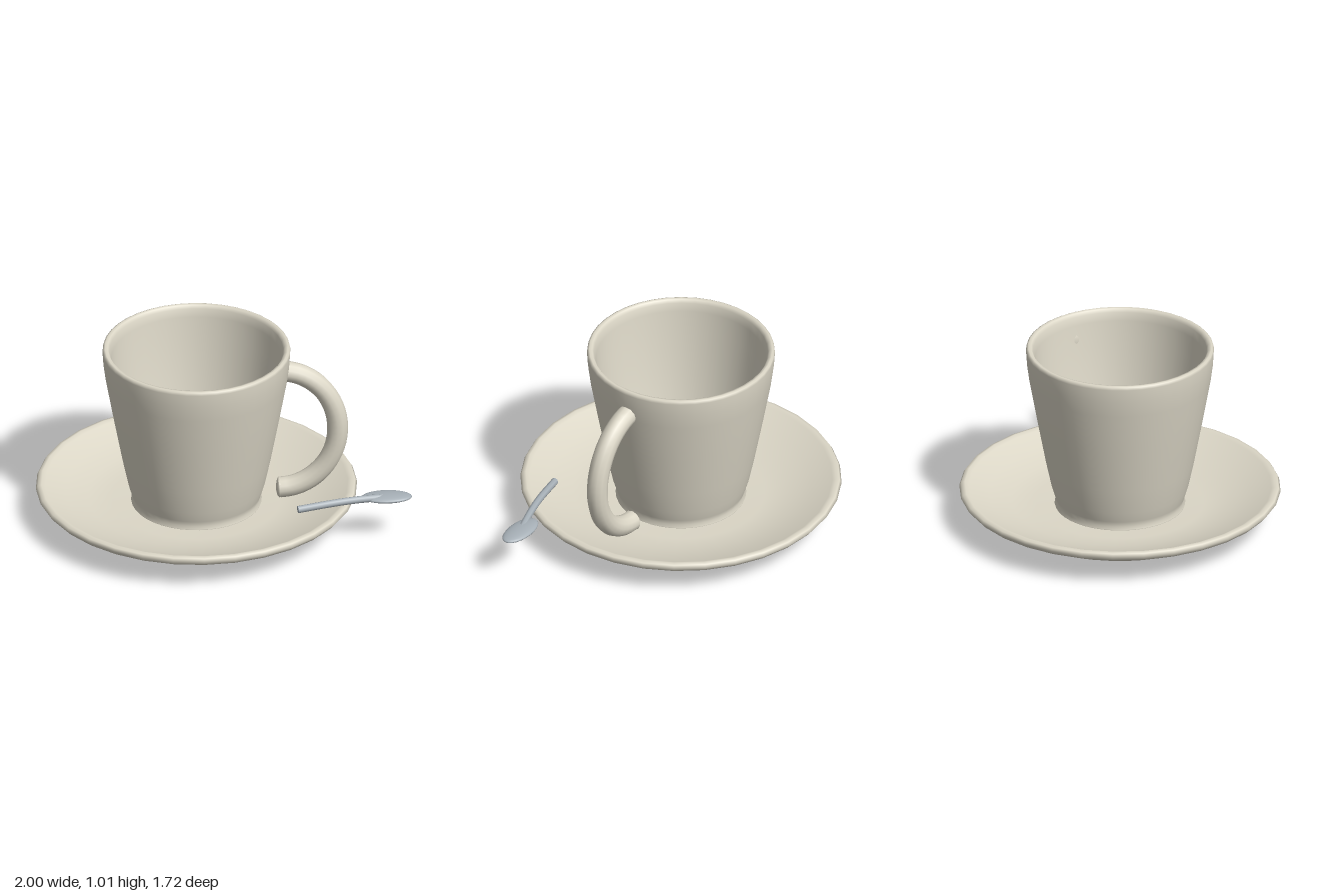
import * as THREE from 'three';

const CUP_X = -0.14; // shared axis of cup and saucer

export function createModel() {
  const group = new THREE.Group();
  const ceramic = new THREE.MeshStandardMaterial({ color: 0xdcd7c7 });
  ceramic.name = 'cream ceramic';
  const steel = new THREE.MeshStandardMaterial({ color: 0xa6afb6 });
  steel.name = 'spoon steel';

  const add = (name, geometry, material, x = 0, y = 0, z = 0) => {
    const mesh = new THREE.Mesh(geometry, material);
    mesh.name = name;
    mesh.position.set(x, y, z);
    group.add(mesh);
    return mesh;
  };
  const lathe = (points, segments) =>
    new THREE.LatheGeometry(points.map(([r, y]) => new THREE.Vector2(r, y)), segments);

  // Saucer: shallow dish, underside first, then over the rim and back to the middle
  add('saucer', lathe([
    [0, 0], [0.34, 0], [0.62, 0.04], [0.84, 0.15], [0.86, 0.175], [0.85, 0.192],
    [0.83, 0.198], [0.81, 0.188], [0.7, 0.145], [0.58, 0.112], [0.45, 0.092], [0, 0.085],
  ], 32), ceramic, CUP_X);

  // Cup: foot, tapered wall, rounded lip and bowl-shaped inside
  add('cup', lathe([
    [0, 0.08], [0.345, 0.08], [0.35, 0.095], [0.338, 0.108], [0.348, 0.14], [0.366, 0.2],
    [0.396, 0.34], [0.443, 0.59], [0.486, 0.83], [0.498, 0.92], [0.503, 0.995], [0.5, 1.01],
    [0.49, 1.015], [0.475, 1.012], [0.465, 0.995], [0.455, 0.95], [0.445, 0.83],
    [0.405, 0.59], [0.36, 0.36], [0.33, 0.27], [0.27, 0.21], [0.17, 0.175], [0, 0.16],
  ], 40), ceramic, CUP_X);

  // Handle: half-ellipse tube with rounded ends
  const handlePoints = [];
  for (let i = 0; i <= 16; i++) {
    const a = Math.PI * (0.475 - 0.97 * i / 16);
    handlePoints.push(new THREE.Vector3(0.3 + 0.316 * Math.cos(a), 0.505 + 0.355 * Math.sin(a), 0));
  }
  const handleCurve = new THREE.CatmullRomCurve3(handlePoints);
  add('handle', new THREE.TubeGeometry(handleCurve, 28, 0.056, 12), ceramic);
  for (const t of [0, 1]) {
    const p = handleCurve.getPoint(t);
    const cap = add('handleEnd', new THREE.SphereGeometry(0.056, 12, 8), ceramic, p.x, p.y, p.z);
    cap.scale.x = 0.35;
  }

  // Spoon: slim bent stem with closed ends
  const stemCurve = new THREE.CatmullRomCurve3([
    new THREE.Vector3(0.38, 0.261, 0.455),
    new THREE.Vector3(0.58, 0.272, 0.412),
    new THREE.Vector3(0.7, 0.27, 0.38),
    new THREE.Vector3(0.84, 0.258, 0.338),
  ]);
  add('spoonStem', new THREE.TubeGeometry(stemCurve, 14, 0.02, 8), steel);
  const end = stemCurve.getPoint(0);
  const endCap = add('spoonStemEnd', new THREE.CircleGeometry(0.02, 8), steel, end.x, end.y, end.z);
  endCap.lookAt(end.clone().sub(stemCurve.getTangent(0)));

  // Spoon bowl: flattened ellipsoid
  const bowl = add('spoonBowl', new THREE.SphereGeometry(1, 24, 12), steel, 0.862, 0.257, 0.33);
  bowl.scale.set(0.136, 0.02, 0.066);

  return group;
}
